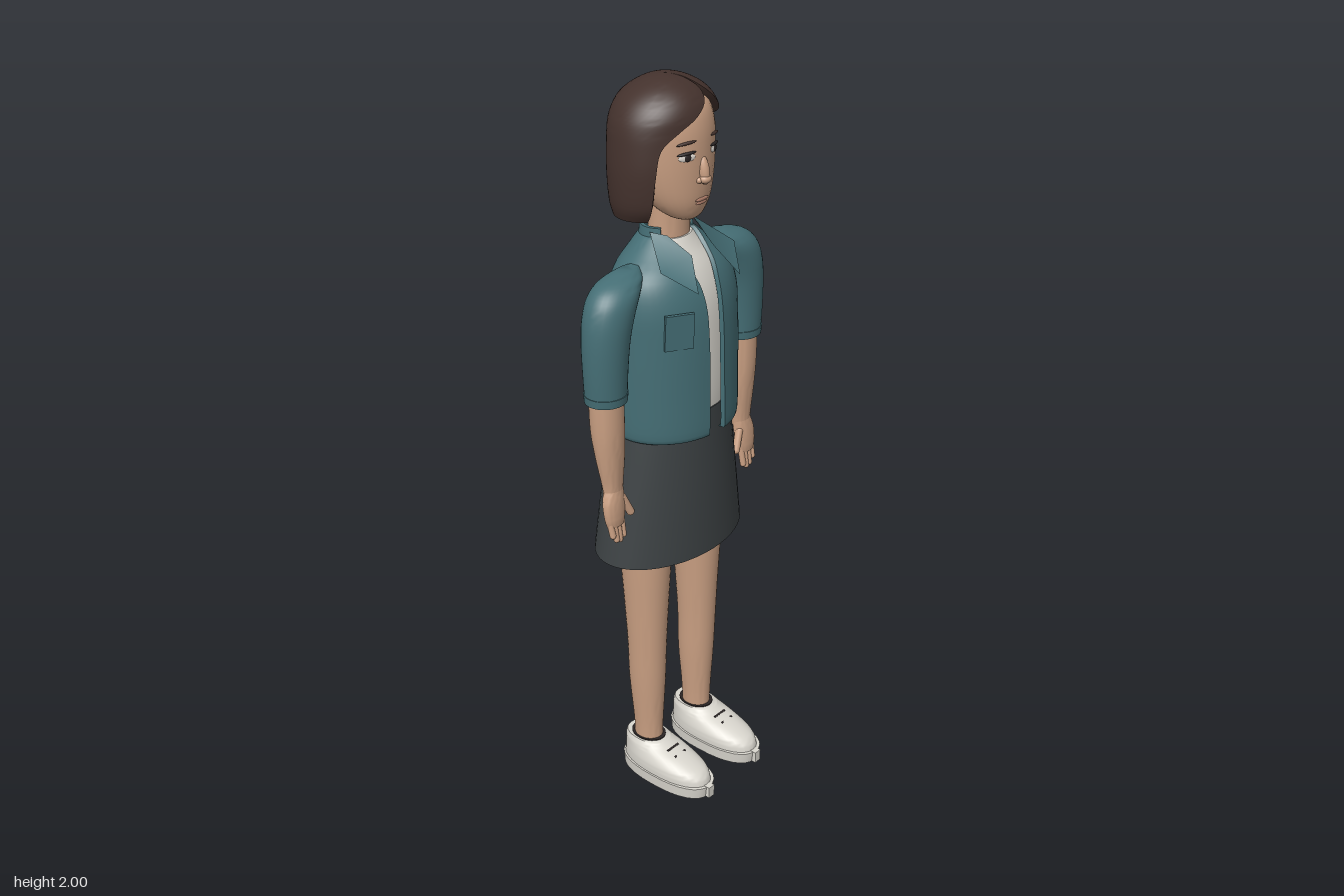
import * as THREE from 'three';
import { toCreasedNormals } from 'three/addons/utils/BufferGeometryUtils.js';

const PI2 = Math.PI * 2;
const material = (name, color, side = THREE.FrontSide) => {
  const m = new THREE.MeshStandardMaterial({ color, side });
  m.name = name;
  return m;
};

// Catmull-Rom interpolation of whole rows of numbers
function smoothRows(rows, steps) {
  const out = [];
  for (let k = 0; k < rows.length - 1; k++) {
    const p = [rows[Math.max(k - 1, 0)], rows[k], rows[k + 1], rows[Math.min(k + 2, rows.length - 1)]];
    for (let s = 0; s < steps; s++) {
      const t = s / steps;
      out.push(rows[k].map((_, c) => {
        const [a, b, d, e] = p.map((r) => r[c]);
        return b + 0.5 * t * (d - a + t * (2 * a - 5 * b + 4 * d - e + t * (3 * (b - d) + e - a)));
      }));
    }
  }
  out.push(rows[rows.length - 1]);
  return out;
}

// Rows run upwards: [y, centre x, centre z, radius x, radius z]; wall rows add [start angle, end angle, thickness].
// Angle 0 is the front and grows towards +x.
function loft(rows, { steps = 4, seg = 32, bottom = true, top = true, power = 1, crease = 0.9 } = {}) {
  const wall = rows[0].length > 5;
  const all = smoothRows(rows, steps);
  const pos = [], idx = [];
  const bend = (v) => Math.sign(v) * Math.abs(v) ** power;
  const put = (y, cx, cz, rx, rz, a) => pos.push(cx + rx * bend(Math.sin(a)), y, cz + rz * bend(Math.cos(a)));
  for (const [y, cx, cz, rx, rz, a, b, t] of all) {
    if (!wall) for (let j = 0; j < seg; j++) put(y, cx, cz, rx, rz, (j / seg) * PI2);
    else {
      for (let j = 0; j <= seg; j++) put(y, cx, cz, rx, rz, a + ((b - a) * j) / seg);
      for (let j = seg; j >= 0; j--) put(y, cx, cz, Math.max(rx - t, 0.002), Math.max(rz - t, 0.002), a + ((b - a) * j) / seg);
    }
  }
  const m = wall ? 2 * seg + 2 : seg, last = (all.length - 1) * m;
  for (let i = 0; i < last; i += m) {
    for (let j = 0; j < m; j++) {
      const k = (j + 1) % m;
      idx.push(i + j, i + k, i + m + k, i + j, i + m + k, i + m + j);
    }
  }
  for (const [on, o, up] of [[bottom, 0, false], [top, last, true]]) {
    if (!on) continue;
    const tri = (a, b, c) => idx.push(o + a, o + (up ? b : c), o + (up ? c : b));
    if (wall) for (let j = 0; j < seg; j++) { tri(j, j + 1, m - 2 - j); tri(j, m - 2 - j, m - 1 - j); }
    else for (let j = 1; j < seg - 1; j++) tri(0, j, j + 1);
  }
  const g = new THREE.BufferGeometry();
  g.setAttribute('position', new THREE.Float32BufferAttribute(pos, 3));
  g.setIndex(idx);
  return toCreasedNormals(g, crease);
}

export function createModel() {
  const skin = material('skin', 0xc99f82);
  const hair = material('brown hair', 0x44322d);
  const teal = material('teal cloth', 0x456e75, THREE.DoubleSide);
  const grey = material('charcoal cloth', 0x3d4244, THREE.DoubleSide);
  const white = material('off white', 0xd9d6ce);
  const dark = material('dark detail', 0x2a2424);
  const eyeWhite = material('eye white', 0xe4ded6);
  const lip = material('lip', 0xb07f6b);

  const model = new THREE.Group();
  const add = (name, geo, mat, p = [0, 0, 0], r = [0, 0, 0], s = [1, 1, 1]) => {
    const mesh = new THREE.Mesh(geo, mat);
    mesh.name = name;
    mesh.position.set(...p);
    mesh.rotation.set(...r);
    mesh.scale.set(...s);
    model.add(mesh);
    return mesh;
  };
  const ball = new THREE.SphereGeometry(1, 20, 14);
  const capsule = (name, mat, from, to, radius) => {
    const a = new THREE.Vector3(...from), b = new THREE.Vector3(...to), d = b.clone().sub(a);
    const mesh = add(name, new THREE.CapsuleGeometry(radius, d.length(), 5, 10), mat, a.add(b).multiplyScalar(0.5).toArray());
    mesh.quaternion.setFromUnitVectors(new THREE.Vector3(0, 1, 0), d.normalize());
  };

  // Head and neck
  add('neck', loft([[1.54, 0, -0.045, 0.062, 0.054], [1.62, 0, -0.04, 0.056, 0.05], [1.72, 0, -0.035, 0.056, 0.05]]), skin);
  add('head', loft([
    [1.652, 0, 0.018, 0.025, 0.022], [1.665, 0, 0.008, 0.052, 0.045], [1.7, 0, -0.012, 0.084, 0.077],
    [1.75, 0, -0.033, 0.107, 0.103], [1.82, 0, -0.047, 0.12, 0.119], [1.89, 0, -0.052, 0.12, 0.12],
    [1.94, 0, -0.055, 0.1, 0.103], [1.975, 0, -0.055, 0.045, 0.045]]), skin);
  add('nose', ball, skin, [0, 0, 0], [-0.2, 0, 0], [0.014, 0.038, 0.016]).position.set(0, 1.785, 0.07);
  add('noseTip', ball, skin, [0, 1.763, 0.076], [0, 0, 0], [0.017, 0.012, 0.015]);
  add('upperLip', ball, lip, [0, 1.709, 0.066], [0, 0, 0], [0.024, 0.005, 0.004]);
  add('lowerLip', ball, lip, [0, 1.7, 0.064], [0, 0, 0], [0.02, 0.005, 0.004]);
  for (const s of [1, -1]) {
    add('eye', ball, eyeWhite, [s * 0.05, 1.825, 0.061], [0, s * 0.4, 0], [0.023, 0.01, 0.004]);
    add('iris', ball, dark, [s * 0.05, 1.825, 0.063], [0, s * 0.4, 0], [0.01, 0.01, 0.004]);
    add('upperLid', ball, dark, [s * 0.051, 1.835, 0.061], [0, s * 0.4, -s * 0.08], [0.026, 0.004, 0.005]);
    add('brow', ball, hair, [s * 0.052, 1.861, 0.061], [0, s * 0.4, -s * 0.1], [0.027, 0.004, 0.004]);
    add('nostril', ball, skin, [s * 0.014, 1.761, 0.068], [0, 0, 0], [0.009, 0.008, 0.01]);
    add('ear', ball, skin, [s * 0.122, 1.79, -0.028], [0.15, s * 0.3, 0], [0.012, 0.036, 0.022]);
  }

  // Side-parted bob, tucked behind the left ear
  add('hair', loft([
    [1.66, 0, -0.068, 0.138, 0.1, 1.75, PI2 - 0.95, 0.03], [1.7, 0, -0.058, 0.153, 0.118, 1.7, PI2 - 0.93, 0.035],
    [1.78, 0, -0.055, 0.159, 0.126, 1.75, PI2 - 0.88, 0.035], [1.85, 0, -0.055, 0.155, 0.127, 1.5, PI2 - 0.8, 0.033],
    [1.89, 0, -0.055, 0.149, 0.127, 1.05, PI2 - 0.5, 0.03], [1.92, 0, -0.053, 0.138, 0.123, 0.8, PI2 - 0.15, 0.03],
    [1.95, 0, -0.052, 0.117, 0.109, 0.62, PI2 + 0.18, 0.03], [1.975, 0, -0.05, 0.085, 0.081, 0.5, PI2 + 0.36, 0.03],
    [1.993, 0, -0.05, 0.045, 0.045, 0.48, PI2 + 0.4, 0.03], [2, 0, -0.05, 0.006, 0.006, 0.48, PI2 + 0.42, 0.003]],
  { seg: 44 }), hair);

  // Shirt, open jacket and collar
  add('shirt', loft([
    [1.1, 0, -0.03, 0.155, 0.123], [1.2, 0, -0.03, 0.165, 0.13], [1.35, 0, -0.03, 0.166, 0.128], [1.45, 0, -0.03, 0.162, 0.119],
    [1.52, 0, -0.035, 0.14, 0.1], [1.57, 0, -0.042, 0.092, 0.074], [1.6, 0, -0.043, 0.064, 0.057]]), white);
  const coat = [
    [1.088, -0.028, 0.178, 0.146, 0.03], [1.1, -0.028, 0.188, 0.153, 0.03], [1.2, -0.03, 0.191, 0.154, 0.028],
    [1.35, -0.03, 0.192, 0.15, 0.028], [1.45, -0.03, 0.19, 0.14, 0.03], [1.52, -0.035, 0.17, 0.12, 0.04],
    [1.57, -0.043, 0.115, 0.088, 0.055], [1.605, -0.047, 0.075, 0.064, 0.058]];
  add('jacket', loft(coat.map(([y, cz, rx, rz, gap]) => {
    const a = Math.asin(gap / rx);
    return [y, 0, cz, rx, rz, a, PI2 - a, 0.013];
  }), { seg: 48 }), teal);
  add('collarStand', loft([[1.58, 0, -0.05, 0.079, 0.064, 0.95, PI2 - 0.95, 0.01], [1.628, 0, -0.05, 0.073, 0.06, 0.95, PI2 - 0.95, 0.01]]), teal);
  for (const s of [1, -1]) {
    const flap = new THREE.BufferGeometry();
    const pts = [[0.078, 1.62, -0.035], [0.058, 1.615, 0.005], [0.042, 1.575, 0.07], [0.08, 1.5, 0.125], [0.14, 1.555, 0.055]];
    flap.setAttribute('position', new THREE.Float32BufferAttribute(pts.flatMap(([x, y, z]) => [s * x, y, z]), 3));
    flap.setIndex(s > 0 ? [0, 1, 2, 0, 2, 4, 2, 3, 4] : [0, 2, 1, 0, 4, 2, 2, 4, 3]);
    add('collarFlap', toCreasedNormals(flap, 0.8), teal);
  }
  add('chestPocket', new THREE.BoxGeometry(0.076, 0.095, 0.009), teal, [-0.113, 1.4, 0.091], [0.04, -0.5, 0]);

  // Skirt
  add('skirt', loft([[0.73, 0, -0.046, 0.24, 0.157], [0.9, 0, -0.042, 0.213, 0.15], [1.06, 0, -0.036, 0.185, 0.139], [1.15, 0, -0.033, 0.168, 0.133]],
    { bottom: false, seg: 48 }), grey);

  for (const s of [1, -1]) {
    // Sleeves and arms
    const X = (rows) => rows.map(([y, x, ...rest]) => [y, s * x, ...rest]);
    add('sleeve', loft(X([
      [1.24, 0.265, -0.018, 0.055, 0.052], [1.32, 0.265, -0.018, 0.059, 0.055], [1.4, 0.26, -0.019, 0.064, 0.059],
      [1.46, 0.247, -0.02, 0.07, 0.061], [1.505, 0.226, -0.022, 0.073, 0.058], [1.535, 0.198, -0.026, 0.066, 0.044],
      [1.553, 0.165, -0.032, 0.035, 0.02]])), teal);
    add('sleeveHem', loft(X([[1.236, 0.265, -0.018, 0.056, 0.053], [1.258, 0.265, -0.018, 0.058, 0.055]])), teal);
    add('arm', loft(X([
      [0.97, 0.258, -0.006, 0.03, 0.02], [1.0, 0.258, -0.008, 0.032, 0.023], [1.08, 0.26, -0.013, 0.042, 0.034],
      [1.16, 0.263, -0.017, 0.046, 0.042], [1.27, 0.265, -0.018, 0.046, 0.043]])), skin);
    add('palm', loft(X([
      [0.885, 0.265, 0.006, 0.028, 0.013], [0.91, 0.265, 0.004, 0.034, 0.017], [0.95, 0.263, -0.001, 0.036, 0.02],
      [0.985, 0.258, -0.006, 0.03, 0.02]])), skin);
    [0.851, 0.842, 0.846, 0.862].forEach((tip, i) => {
      const x = 0.243 + i * 0.0145;
      capsule('finger', skin, [s * x, 0.905, 0.005], [s * (x * 0.9 + 0.026), tip, 0.014], 0.0085);
    });
    capsule('thumb', skin, [s * 0.237, 0.955, 0.004], [s * 0.215, 0.905, 0.012], 0.011);

    // Legs
    add('leg', loft(X([
      [0.09, 0.103, -0.032, 0.036, 0.042], [0.16, 0.103, -0.032, 0.038, 0.043], [0.3, 0.104, -0.034, 0.047, 0.053],
      [0.42, 0.105, -0.033, 0.051, 0.056], [0.55, 0.105, -0.034, 0.057, 0.063], [0.72, 0.105, -0.035, 0.065, 0.074],
      [0.95, 0.105, -0.035, 0.07, 0.085]])), skin);

    // Shoes
    const fx = 0.103;
    add('shoeSole', loft(X([[0, fx, 0.04, 0.068, 0.149], [0.034, fx, 0.041, 0.071, 0.152]]), { steps: 1, power: 0.85 }), white);
    add('shoeUpper', loft(X([
      [0.034, fx, 0.038, 0.066, 0.146], [0.06, fx, 0.033, 0.066, 0.138], [0.082, fx, 0.008, 0.06, 0.112],
      [0.1, fx, -0.022, 0.053, 0.081], [0.112, fx, -0.033, 0.046, 0.066]]), { power: 0.9 }), white);
    add('toeBumper', new THREE.BoxGeometry(0.022, 0.034, 0.02), white, [s * fx, 0.018, 0.191]);
    add('shoeOpening', loft(X([[0.108, fx, -0.032, 0.041, 0.052], [0.115, fx, -0.032, 0.041, 0.052]]), { steps: 1 }), dark);
    for (const [y, z] of [[0.101, 0.058], [0.092, 0.084], [0.081, 0.113]]) {
      add('shoeLace', new THREE.BoxGeometry(0.045, 0.004, 0.006), dark, [s * fx, y - 0.002, z], [0.35, 0, 0]);
    }
  }
  return model;
}
